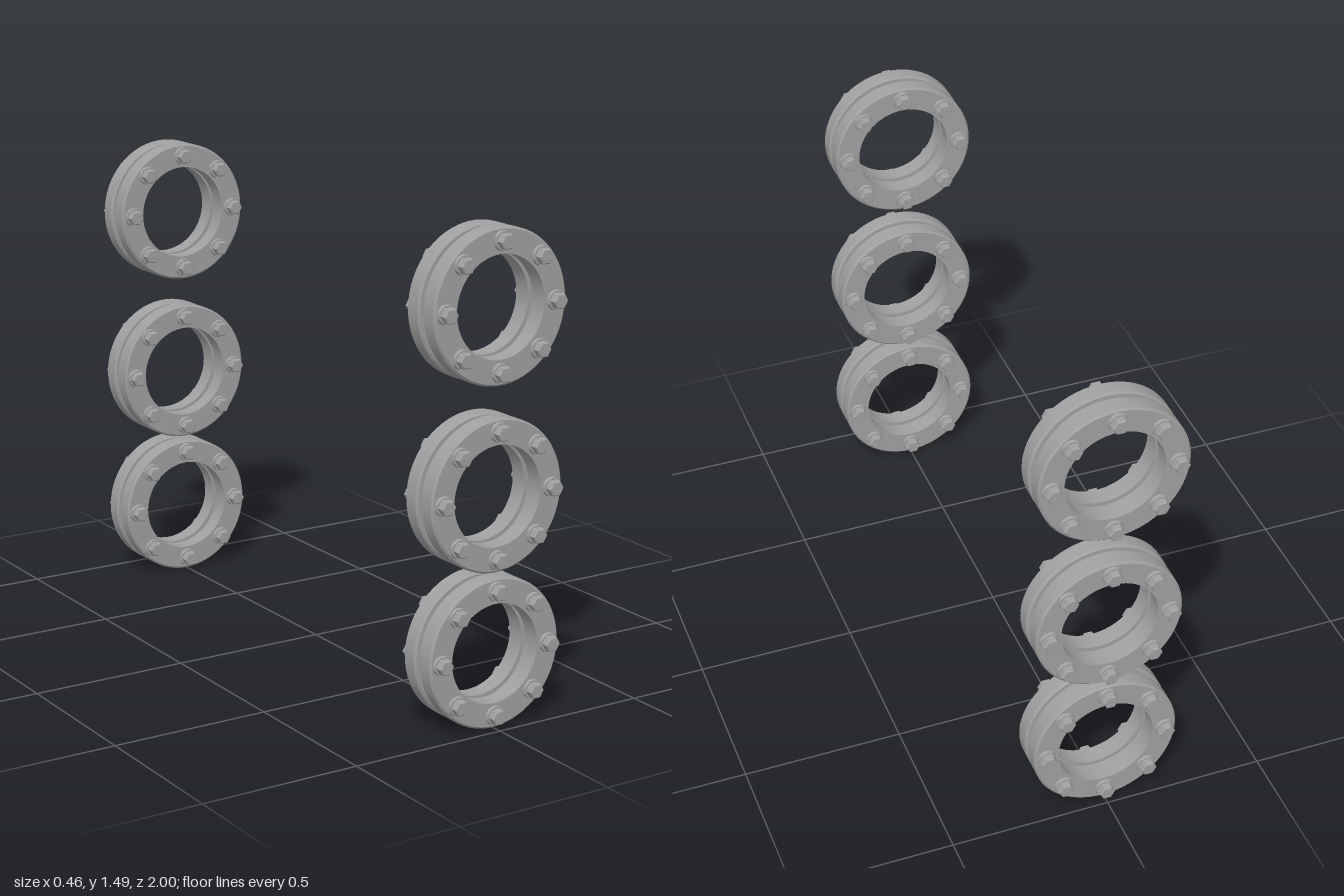
import * as THREE from 'three';
import { toCreasedNormals } from 'three/addons/utils/BufferGeometryUtils.js';

const steel = new THREE.MeshStandardMaterial({ color: 0xa0a0a0 });
steel.name = 'steel grey';

// Closed ring of revolution around z from a counter-clockwise [radius, z] profile
function ringGeometry(profile) {
  const points = [...profile, profile[0]].map(([r, z]) => new THREE.Vector2(r, z));
  const geometry = new THREE.LatheGeometry(points, 64);
  geometry.rotateX(Math.PI / 2);
  return toCreasedNormals(geometry, 0.5);
}

// Prism or disc lying along z, starting at z = start
function discGeometry(rBase, rTop, depth, start, sides, turn = 0) {
  const geometry = new THREE.CylinderGeometry(rTop, rBase, depth, sides);
  geometry.rotateY(turn);
  geometry.rotateX(Math.PI / 2);
  geometry.translate(0, 0, start + depth / 2);
  return toCreasedNormals(geometry, 0.5);
}

const R_OUT = 0.229, R_IN = 0.152, R_BOLT = 0.19;
const Z_IN = 0.01, Z_OUT = 0.067, BEVEL = 0.006;

const flangeGeometry = ringGeometry([
  [R_IN, Z_IN], [R_OUT - BEVEL, Z_IN], [R_OUT, Z_IN + BEVEL],
  [R_OUT, Z_OUT - BEVEL], [R_OUT - BEVEL, Z_OUT], [R_IN, Z_OUT],
]);
const gasketGeometry = ringGeometry([
  [0.165, -Z_IN], [0.211, -Z_IN], [0.211, Z_IN], [0.165, Z_IN],
]);
const washerGeometry = discGeometry(0.03, 0.028, 0.009, Z_OUT, 24);
const headGeometry = discGeometry(0.025, 0.025, 0.018, Z_OUT + 0.009, 6, Math.PI / 6);
const crownGeometry = discGeometry(0.025, 0.021, 0.004, Z_OUT + 0.027, 6, Math.PI / 6);

function add(parent, name, geometry, x = 0, y = 0) {
  const mesh = new THREE.Mesh(geometry, steel);
  mesh.name = name;
  mesh.position.set(x, y, 0);
  parent.add(mesh);
}

// One flange with its circle of eight hex bolts
function createFlange() {
  const half = new THREE.Group();
  half.name = 'flangeHalf';
  add(half, 'flange', flangeGeometry);
  for (let i = 0; i < 8; i++) {
    const a = (i * Math.PI) / 4;
    const x = R_BOLT * Math.cos(a), y = R_BOLT * Math.sin(a);
    add(half, 'washer', washerGeometry, x, y);
    add(half, 'boltHead', headGeometry, x, y);
    add(half, 'boltCrown', crownGeometry, x, y);
  }
  return half;
}

// Two flanges back to back with a gasket between them
function createJoint() {
  const joint = new THREE.Group();
  joint.name = 'flangeJoint';
  const back = createFlange();
  back.rotation.y = Math.PI;
  joint.add(createFlange(), back);
  add(joint, 'gasket', gasketGeometry);
  return joint;
}

export function createModel() {
  const model = new THREE.Group();
  model.name = 'pipeFlanges';
  // Three joints stacked at each end
  for (const z of [0.902, -0.902]) {
    for (const y of [0.23, 0.705, 1.257]) {
      const joint = createJoint();
      joint.position.set(0, y, z);
      model.add(joint);
    }
  }
  return model;
}
